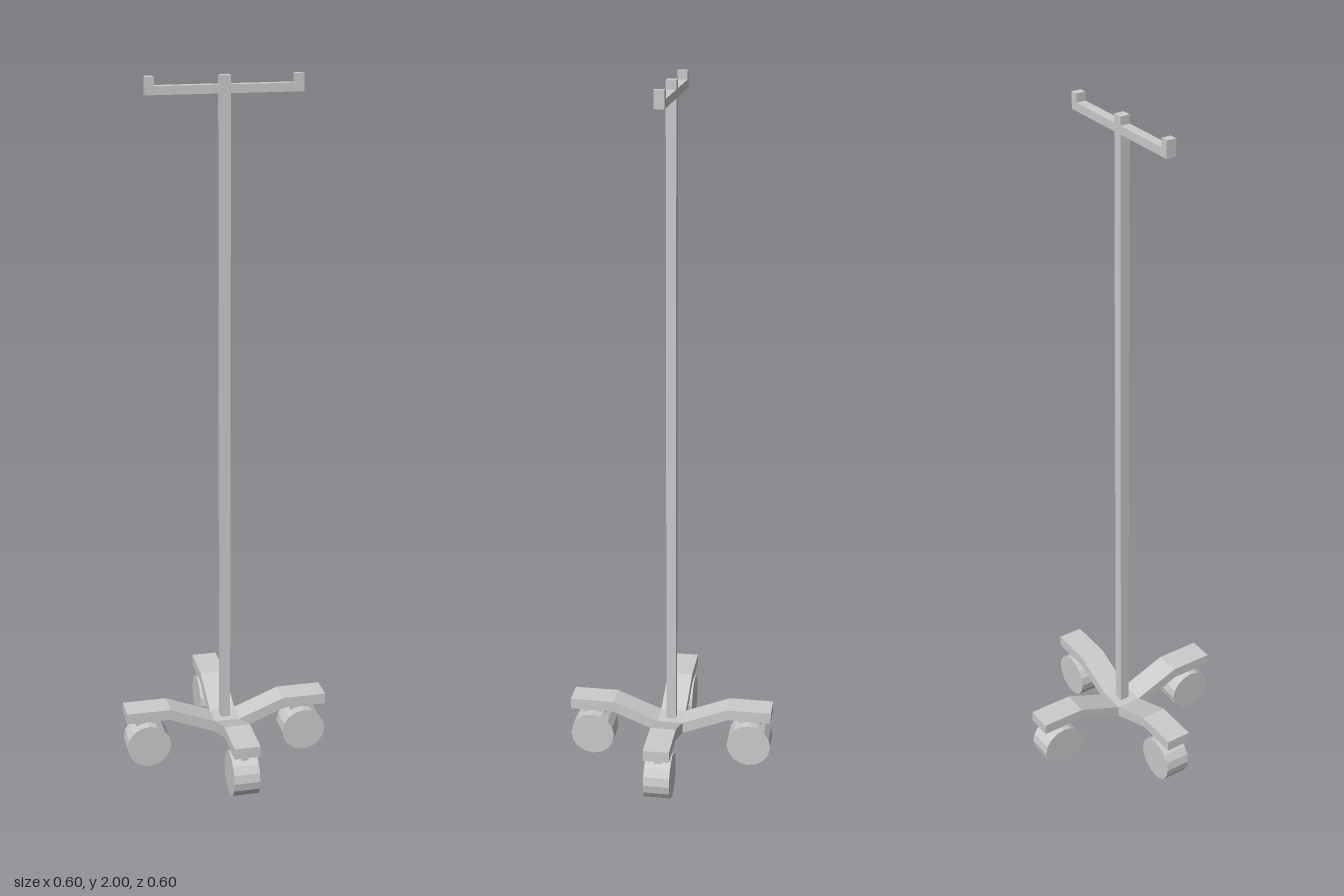
import * as THREE from 'three';

const material = new THREE.MeshStandardMaterial({ color: 0xcccccc, flatShading: true });

function add(parent, name, geometry, x = 0, y = 0, z = 0) {
  const mesh = new THREE.Mesh(geometry, material);
  mesh.name = name;
  mesh.position.set(x, y, z);
  parent.add(mesh);
  return mesh;
}

function box(parent, name, w, h, d, x, y, z = 0) {
  return add(parent, name, new THREE.BoxGeometry(w, h, d), x, y, z);
}

export function createModel() {
  const model = new THREE.Group();
  model.name = 'rollingStand';
  const legWidth = 0.075;
  const half = legWidth / 2;

  // Square pole and the hub it stands in
  box(model, 'pole', 0.028, 1.9, 0.028, 0, 1.05);
  box(model, 'hub', legWidth, 0.034, legWidth, 0, 0.108);

  // Crossbar with an upturned tip at each end
  const hanger = new THREE.Group();
  hanger.name = 'hanger';
  model.add(hanger);
  box(hanger, 'crossbar', 0.425, 0.023, 0.028, 0, 1.9645);
  for (const side of [-1, 1]) {
    box(hanger, 'hookTip', 0.0225, 0.024, 0.028, side * 0.20125, 1.988);
  }

  // Side profile of a leg: sloping up from the hub, then level
  const profile = new THREE.Shape([
    [half, 0.091], [0.174, 0.146], [0.3, 0.146],
    [0.3, 0.178], [0.17, 0.178], [half, 0.125],
  ].map(([x, y]) => new THREE.Vector2(x, y)));
  const legGeometry = new THREE.ExtrudeGeometry(profile, { depth: legWidth, bevelEnabled: false });
  legGeometry.translate(0, 0, -half);

  const wheelGeometry = new THREE.CylinderGeometry(0.065, 0.065, legWidth, 16);
  wheelGeometry.rotateX(Math.PI / 2);

  // Four legs, each with a caster
  for (let i = 0; i < 4; i++) {
    const leg = new THREE.Group();
    leg.name = 'leg';
    leg.rotation.y = i * Math.PI / 2;
    model.add(leg);
    add(leg, 'legBeam', legGeometry);
    box(leg, 'casterBracket', 0.066, 0.05, 0.02, 0.235, 0.122);
    add(leg, 'wheel', wheelGeometry, 0.235, 0.065, 0);
  }
  return model;
}
